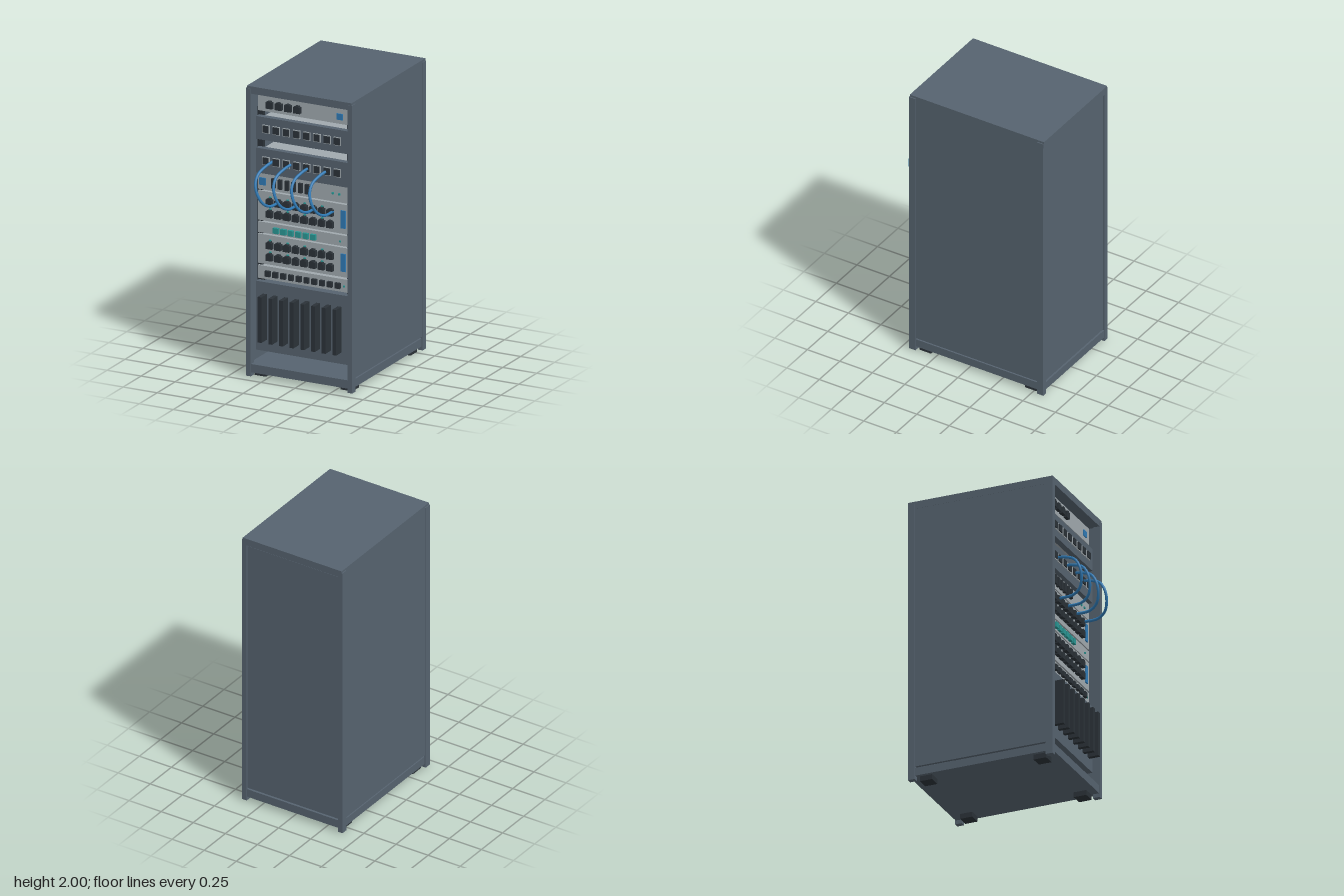
import * as THREE from 'three';

const mat = (name, color, extra = {}) => {
  const m = new THREE.MeshStandardMaterial({ color, ...extra });
  m.name = name;
  return m;
};

export function createModel() {
  const steel = mat('slate steel', 0x56636f);
  const silver = mat('light grey', 0xa0a9ae);
  const dark = mat('charcoal', 0x2b3238);
  const blue = mat('blue', 0x2f7ab5);
  const teal = mat('teal', 0x2a9794);

  const root = new THREE.Group();
  root.name = 'serverRack';

  // Box given by its min and max along each axis
  const box = (parent, name, m, x0, x1, y0, y1, z0, z1) => {
    const mesh = new THREE.Mesh(new THREE.BoxGeometry(x1 - x0, y1 - y0, z1 - z0), m);
    mesh.position.set((x0 + x1) / 2, (y0 + y1) / 2, (z0 + z1) / 2);
    mesh.name = name;
    parent.add(mesh);
    return mesh;
  };
  // Block standing out of a front face, given by its centre
  const block = (parent, name, m, x, y, w, h, z, d) =>
    box(parent, name, m, x - w / 2, x + w / 2, y - h / 2, y + h / 2, z - 0.005, z + d);
  const row = (n, x, step, fn) => {
    for (let i = 0; i < n; i++) fn(x + i * step, i);
  };

  // Cabinet shell
  const cabinet = new THREE.Group();
  cabinet.name = 'cabinet';
  root.add(cabinet);
  box(cabinet, 'topPanel', steel, -0.385, 0.385, 1.95, 2, -0.59, 0.442);
  box(cabinet, 'base', steel, -0.383, 0.383, 0.035, 0.09, -0.58, 0.435);
  box(cabinet, 'backPanel', steel, -0.355, 0.355, 0.1, 1.94, -0.578, -0.56);
  box(cabinet, 'backSill', steel, -0.355, 0.355, 0.035, 0.092, -0.584, -0.56);
  box(cabinet, 'frontSill', steel, -0.355, 0.355, 0.035, 0.092, 0.4, 0.44);
  for (const s of [-1, 1]) {
    const side = (name, m, a, b, ...r) => box(cabinet, name, m, Math.min(s * a, s * b), Math.max(s * a, s * b), ...r);
    side('sidePanel', steel, 0.365, 0.384, 0.1, 1.955, -0.55, 0.405);
    side('frontPost', steel, 0.355, 0.391, 0.008, 1.985, 0.395, 0.444);
    side('backPost', steel, 0.355, 0.391, 0.008, 1.985, -0.588, -0.54);
    side('mountingRail', dark, 0.31, 0.348, 0.4, 1.84, 0.33, 0.36);
    side('frontFoot', dark, 0.275, 0.36, 0, 0.036, 0.294, 0.384);
    side('backFoot', dark, 0.275, 0.36, 0, 0.036, -0.517, -0.43);
  }

  // Rack unit: faceplate with a narrower body behind it
  const unit = (name, m, y0, y1, z) => {
    const g = new THREE.Group();
    g.name = name;
    root.add(g);
    box(g, 'faceplate', m, -0.338, 0.338, y0, y1, z - 0.04, z);
    box(g, 'body', m === steel && name !== 'bladeChassis' ? silver : m, -0.305, 0.305, y0 + 0.01, y1 - 0.01, -0.35, z - 0.04);
    return g;
  };
  const Z = 0.375, ZP = 0.4;

  // Top controller
  const controller = unit('controller', silver, 1.82, 1.937, Z);
  row(4, -0.247, 0.068, x => {
    block(controller, 'port', dark, x, 1.87, 0.048, 0.044, Z, 0.025);
    block(controller, 'portTab', dark, x, 1.894, 0.024, 0.01, Z, 0.025);
  });
  block(controller, 'display', blue, 0.265, 1.87, 0.045, 0.042, Z, 0.008);

  // Patch panels
  for (const [y0, y1, y] of [[1.63, 1.787, 1.708], [1.4, 1.57, 1.49]]) {
    const panel = unit('patchPanel', steel, y0, y1, ZP);
    row(8, -0.264, 0.0749, x => {
      block(panel, 'socketRim', silver, x, y, 0.053, 0.057, ZP, 0.006);
      block(panel, 'socket', dark, x, y + 0.001, 0.042, 0.046, ZP, 0.014);
    });
  }

  // Drive server
  const drives = unit('driveServer', silver, 1.28, 1.393, Z);
  block(drives, 'display', blue, -0.302, 1.337, 0.045, 0.05, Z, 0.008);
  row(6, -0.22, 0.0498, x => block(drives, 'driveBay', dark, x, 1.337, 0.026, 0.066, Z, 0.02));
  row(2, 0.213, 0.048, x => block(drives, 'statusLight', teal, x, 1.337, 0.013, 0.013, Z, 0.008));

  // Network switches with two rows of ports
  for (const y of [1.168, 0.871]) {
    const sw = unit('networkSwitch', silver, y - 0.1, y + 0.102, Z);
    for (const dy of [0.037, -0.044])
      row(8, -0.246, 0.0636, (x, i) => {
        block(sw, 'port', dark, x, y + dy - 0.002, 0.046, 0.042, Z, 0.028);
        block(sw, 'portTab', dark, x, y + dy + 0.022, 0.024, 0.01, Z, 0.028);
        if (i % 2 === 0) block(sw, 'portLight', teal, x, y + dy + 0.031, 0.014, 0.009, Z, 0.008);
      });
    block(sw, 'display', blue, 0.29, y, 0.035, 0.122, Z, 0.008);
  }

  // Slim unit with teal keys
  const slim = unit('firewall', silver, 0.983, 1.057, Z);
  row(6, -0.2, 0.0545, x => block(slim, 'key', teal, x, 1.015, 0.038, 0.038, Z, 0.02));
  block(slim, 'statusLight', teal, 0.267, 1.015, 0.011, 0.011, Z, 0.008);

  // Power strip
  const power = unit('powerUnit', silver, 0.668, 0.757, Z);
  row(10, -0.262, 0.0572, x => block(power, 'outlet', dark, x, 0.71, 0.036, 0.038, Z, 0.02));
  block(power, 'statusLight', teal, 0.296, 0.71, 0.011, 0.011, Z, 0.008);

  // Blade chassis
  const blades = unit('bladeChassis', steel, 0.182, 0.655, ZP);
  row(8, -0.274, 0.0785, x => block(blades, 'blade', dark, x, 0.418, 0.028, 0.313, ZP, 0.075));

  // Looped patch cables
  const path = [
    [0, 1.49, 0.4], [-0.014, 1.477, 0.455], [-0.033, 1.44, 0.535], [-0.034, 1.385, 0.572],
    [-0.017, 1.318, 0.58], [0.012, 1.252, 0.556], [0.034, 1.219, 0.498], [0.037, 1.213, 0.385],
  ];
  row(4, -0.219, 0.1327, x => {
    const curve = new THREE.CatmullRomCurve3(path.map(([a, y, z]) => new THREE.Vector3(x + a, y, z)));
    const cable = new THREE.Mesh(new THREE.TubeGeometry(curve, 40, 0.0095, 8), blue);
    cable.name = 'patchCable';
    root.add(cable);
  });

  return root;
}
